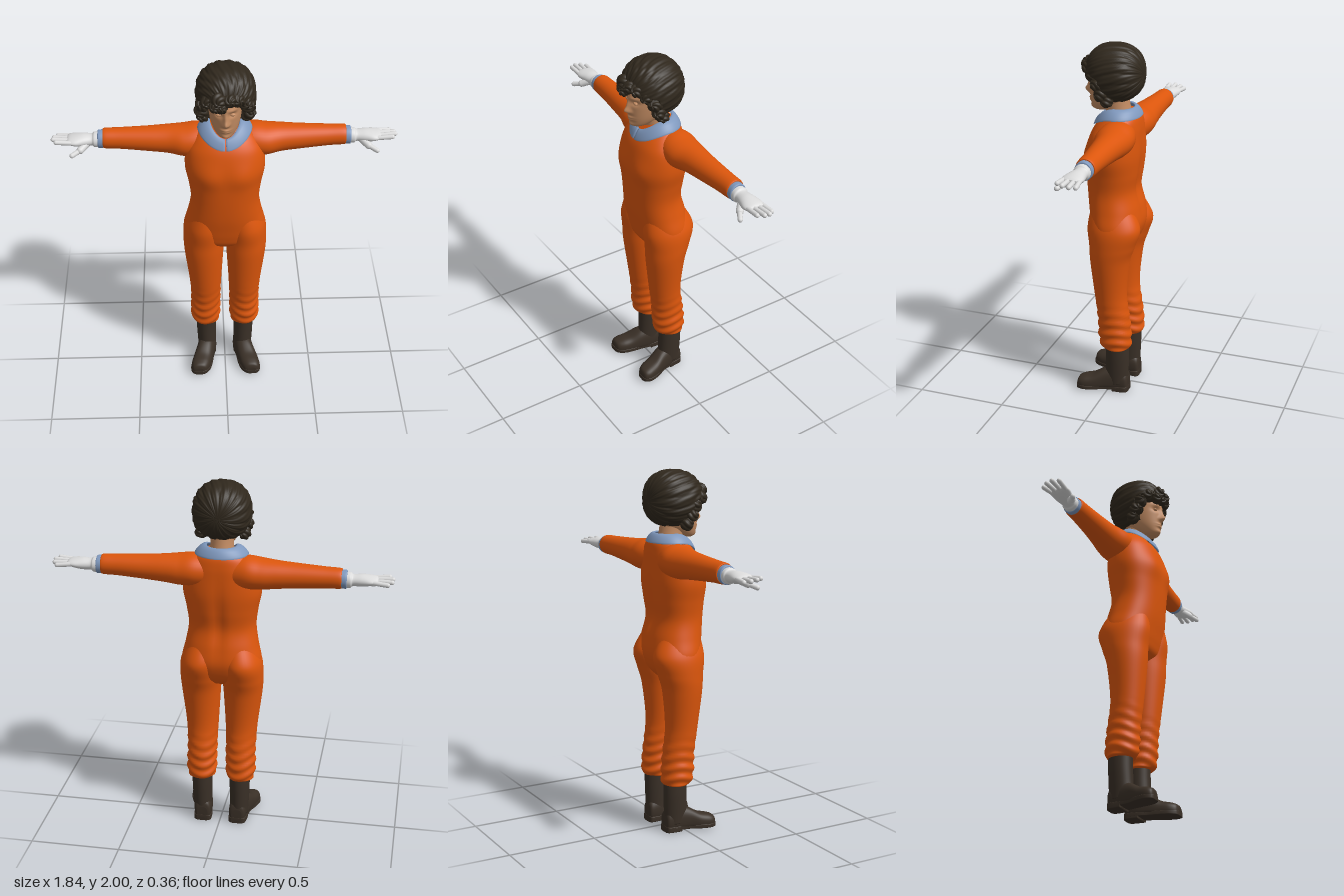
import * as THREE from 'three';

const V = (x, y, z) => new THREE.Vector3(x, y, z);
const gauss = (d, w) => Math.exp(-(d * d) / (w * w));
const { smoothstep, lerp } = THREE.MathUtils;
const spow = (v, e) => Math.sign(v) * Math.abs(v) ** (2 / e);

// Closed tube surface: fn(angle, t) gives a point; both ends are capped.
function grid(nu, nv, fn) {
  const pos = [], idx = [];
  for (let j = 0; j <= nv; j++)
    for (let i = 0; i < nu; i++) pos.push(...fn((i / nu) * Math.PI * 2, j / nv).toArray());
  for (let j = 0; j < nv; j++)
    for (let i = 0; i < nu; i++) {
      const k = (i + 1) % nu, a = j * nu + i, b = j * nu + k, c = a + nu, d = b + nu;
      idx.push(a, b, d, a, d, c);
    }
  [0, nv].forEach((j) => {
    const mid = V(0, 0, 0), n = pos.length / 3;
    for (let i = 0; i < nu; i++) mid.add(V().fromArray(pos, (j * nu + i) * 3));
    pos.push(...mid.divideScalar(nu).toArray());
    for (let i = 0; i < nu; i++) {
      const a = j * nu + i, b = j * nu + ((i + 1) % nu);
      if (j) idx.push(n, a, b); else idx.push(n, b, a);
    }
  });
  const g = new THREE.BufferGeometry();
  g.setAttribute('position', new THREE.Float32BufferAttribute(pos, 3));
  g.setIndex(idx);
  g.computeVertexNormals();
  return g;
}

// Smooth loft along an axis. Row: [along, c1, c2, r1, r2], the other axes in x, y, z order.
function loft(axis, rows, { e = 2, nu = 36, nv = rows.length * 6, post } = {}) {
  const last = rows.length - 1;
  const at = (t) => {
    const f = Math.min(t * last, last - 1e-6), i = Math.floor(f), w = f - i;
    const [p0, p1, p2, p3] = [-1, 0, 1, 2].map((o) => rows[Math.max(0, Math.min(last, i + o))]);
    return p1.map((b, k) => {
      const a = p0[k], c = p2[k], d = p3[k];
      return b + 0.5 * w * (c - a + w * (2 * a - 5 * b + 4 * c - d + w * (3 * (b - c) + d - a)));
    });
  };
  return grid(nu, nv, (a, t) => {
    const [s, c1, c2, r1, r2] = at(t), sn = spow(Math.sin(a), e), cs = spow(Math.cos(a), e);
    const p = axis === 'y' ? V(c1 + r1 * sn, s, c2 + r2 * cs)
      : axis === 'x' ? V(s, c1 + r1 * cs, c2 + r2 * sn)
        : V(c1 + r1 * cs, c2 + r2 * sn, s);
    if (post) post(p, a);
    return p;
  });
}

// Rounded limb between two points, used for fingers.
function digit(a, b, r) {
  const d = b.clone().sub(a), m = a.clone().add(b).multiplyScalar(0.5);
  const q = new THREE.Quaternion().setFromUnitVectors(V(0, 1, 0), d.clone().normalize());
  return new THREE.CapsuleGeometry(r, d.length(), 5, 12).applyQuaternion(q).translate(m.x, m.y, m.z);
}

function mirrored(geo) {
  const g = geo.clone().scale(-1, 1, 1), ix = g.index.array;
  for (let i = 0; i < ix.length; i += 3) [ix[i], ix[i + 1]] = [ix[i + 1], ix[i]];
  return g;
}

export function createModel() {
  const model = new THREE.Group();
  model.name = 'figure';
  const mat = (name, color) => {
    const m = new THREE.MeshStandardMaterial({ color });
    m.name = name;
    return m;
  };
  const orange = mat('orange cloth', 0xdc560c), blue = mat('blue trim', 0x7f98bd);
  const white = mat('white glove', 0xdcdcdc), skin = mat('skin', 0xc28b62);
  const dark = mat('hair', 0x30281d), leather = mat('boot leather', 0x3a3027);
  const add = (name, geo, m) => {
    const mesh = new THREE.Mesh(geo, m);
    mesh.name = name;
    model.add(mesh);
  };
  const pair = (name, geo, m) => {
    add('left' + name, geo, m);
    add('right' + name, mirrored(geo), m);
  };

  // Suit body
  add('torso', loft('y', [
    [0.87, 0, -0.02, 0.1, 0.07], [0.91, 0, -0.02, 0.195, 0.108], [0.96, 0, -0.024, 0.219, 0.128],
    [1.02, 0, -0.024, 0.219, 0.14], [1.1, 0, -0.012, 0.2, 0.142], [1.2, 0, 0.004, 0.185, 0.136],
    [1.3, 0, 0.001, 0.196, 0.145], [1.4, 0, -0.003, 0.214, 0.15], [1.5, 0, -0.012, 0.205, 0.138],
    [1.56, 0, -0.024, 0.175, 0.122], [1.61, 0, -0.04, 0.135, 0.095], [1.635, 0, -0.038, 0.09, 0.072],
  ], {
    e: 2.25, nu: 64, post: (p) => {
      if (p.z > 0) p.z += 0.012 * gauss(Math.abs(p.x) - 0.09, 0.07) * gauss(p.y - 1.39, 0.07);
      else p.z += 0.014 * gauss(p.x, 0.03) * gauss(p.y - 1.25, 0.2);
    },
  }), orange);

  // Trouser legs with gathered folds above the boots
  pair('Leg', loft('y', [
    [0.275, 0.109, -0.046, 0.062, 0.068], [0.285, 0.111, -0.043, 0.078, 0.084],
    [0.35, 0.112, -0.037, 0.083, 0.092], [0.45, 0.11, -0.03, 0.083, 0.09],
    [0.6, 0.111, -0.012, 0.09, 0.09], [0.8, 0.117, -0.01, 0.108, 0.11],
    [0.9, 0.117, -0.022, 0.114, 0.128], [1.0, 0.113, -0.03, 0.111, 0.147], [1.1, 0.1, -0.015, 0.085, 0.118],
  ], {
    nv: 80, nu: 40, post: (p, a) => {
      const w = 0.0045 * (1 - smoothstep(p.y, 0.4, 0.6)) * Math.sin(p.y * 105 + 1.6 * Math.sin(2 * a + 1));
      p.x += w * Math.sin(a);
      p.z += w * Math.cos(a);
    },
  }), orange);

  // Sleeves and cuffs
  pair('Sleeve', loft('x', [
    [0.04, 1.515, -0.05, 0.085, 0.08], [0.14, 1.524, -0.058, 0.09, 0.1], [0.22, 1.52, -0.057, 0.085, 0.099],
    [0.3, 1.522, -0.064, 0.076, 0.082], [0.4, 1.523, -0.066, 0.068, 0.07], [0.55, 1.525, -0.07, 0.058, 0.058],
    [0.635, 1.525, -0.072, 0.055, 0.054], [0.645, 1.525, -0.072, 0.047, 0.046],
  ]), orange);
  pair('Cuff', loft('x', [
    [0.63, 1.523, -0.071, 0.048, 0.047], [0.655, 1.522, -0.071, 0.05, 0.048],
    [0.67, 1.521, -0.071, 0.049, 0.047], [0.673, 1.521, -0.071, 0.04, 0.04],
  ]), blue);

  // Gloves
  pair('Glove', loft('x', [
    [0.66, 1.52, -0.07, 0.042, 0.042], [0.69, 1.519, -0.07, 0.041, 0.044], [0.705, 1.52, -0.07, 0.031, 0.038],
    [0.75, 1.521, -0.068, 0.032, 0.047], [0.79, 1.523, -0.066, 0.026, 0.055],
    [0.82, 1.525, -0.066, 0.018, 0.051], [0.835, 1.526, -0.066, 0.009, 0.04],
  ]), white);
  [[-0.106, -0.116, 0.885, 1.518], [-0.08, -0.088, 0.905, 1.524], [-0.053, -0.056, 0.908, 1.53],
    [-0.027, -0.024, 0.89, 1.532]].forEach(([z0, z1, x, y], i) =>
    pair('Finger' + (i + 1), digit(V(0.8, 1.524, z0), V(x, y, z1), 0.0125), white));
  pair('ThumbBase', digit(V(0.73, 1.508, -0.05), V(0.765, 1.487, -0.015), 0.02), white);
  pair('Thumb', digit(V(0.755, 1.49, -0.02), V(0.808, 1.472, 0.013), 0.0135), white);

  // Collar, split at the front and dipping to a point
  add('collar', grid(14, 72, (u, v) => {
    const a = lerp(Math.PI * 2 - 0.03, 0.03, v), t = (1 + Math.cos(u)) / 2;
    const f = Math.max(Math.cos(a), 0) ** 2, c = Math.cos(a);
    return V(
      Math.sin(a) * lerp(0.078, 0.145, t),
      lerp(1.658 - 0.056 * f, 1.612 - 0.062 * f, t) + 0.01 * Math.sin(u) + 0.008 * Math.sin(t * Math.PI),
      -0.03 + c * lerp(c > 0 ? 0.108 : 0.072, c > 0 ? 0.146 : 0.116, t),
    );
  }), blue);

  // Boots: shaft, foot, sole and heel
  pair('BootShaft', loft('y', [
    [0.05, 0.104, -0.048, 0.052, 0.062], [0.1, 0.106, -0.046, 0.053, 0.067], [0.15, 0.107, -0.048, 0.055, 0.067],
    [0.22, 0.108, -0.05, 0.057, 0.067], [0.3, 0.108, -0.05, 0.057, 0.067],
  ]), leather);
  pair('BootFoot', loft('z', [
    [-0.114, 0.1, 0.05, 0.03, 0.035], [-0.1, 0.1, 0.06, 0.046, 0.06], [-0.04, 0.104, 0.062, 0.052, 0.08],
    [0.02, 0.116, 0.058, 0.054, 0.072], [0.08, 0.134, 0.045, 0.057, 0.052], [0.13, 0.146, 0.04, 0.055, 0.045],
    [0.16, 0.152, 0.037, 0.042, 0.036], [0.17, 0.154, 0.033, 0.024, 0.02],
  ], { e: 2.4, post: (p) => { p.y = Math.max(p.y, 0.026); } }), leather);
  const soleRows = [[-0.116, 0.1, 0.03], [-0.1, 0.1, 0.049], [-0.03, 0.105, 0.051], [0.02, 0.116, 0.05],
    [0.08, 0.134, 0.059], [0.13, 0.146, 0.058], [0.163, 0.152, 0.042], [0.174, 0.154, 0.022]];
  const slab = (name, rows, y, h, m) => pair(name,
    loft('z', rows.map(([z, x, r]) => [z, x, y + h / 2, r, h / 2]), { e: 9, nu: 40 }), m);
  slab('Sole', soleRows, 0.01, 0.024, leather);
  slab('Heel', soleRows.slice(0, 3), 0, 0.03, leather);

  // Neck and head, with brow, sockets, nose, lips and chin raised by rule
  add('neck', loft('y', [
    [1.57, 0, -0.035, 0.08, 0.075], [1.62, 0, -0.022, 0.067, 0.07],
    [1.67, 0, -0.012, 0.062, 0.068], [1.74, 0, 0, 0.062, 0.07],
  ]), skin);
  add('head', loft('y', [
    [1.632, 0, 0.08, 0.022, 0.034], [1.645, 0, 0.072, 0.045, 0.056], [1.68, 0, 0.042, 0.069, 0.094],
    [1.73, 0, 0.02, 0.084, 0.121], [1.8, 0, 0.01, 0.092, 0.134], [1.87, 0, 0, 0.094, 0.134],
    [1.93, 0, 0, 0.075, 0.11], [1.96, 0, 0, 0.03, 0.04],
  ], {
    nu: 96, nv: 90, post: (p) => {
      if (p.z < 0.05) return;
      const x = Math.abs(p.x), y = p.y;
      p.z += 0.026 * gauss(x, 0.014) * gauss(y - 1.735, 0.018) + 0.013 * gauss(x, 0.011) * gauss(y - 1.765, 0.028)
        + 0.008 * gauss(x - 0.015, 0.009) * gauss(y - 1.729, 0.011) - 0.013 * gauss(x - 0.036, 0.021) * gauss(y - 1.783, 0.014)
        + 0.006 * gauss(x - 0.035, 0.03) * gauss(y - 1.81, 0.01) + 0.009 * gauss(x, 0.024) * gauss(y - 1.694, 0.007)
        + 0.009 * gauss(x, 0.022) * gauss(y - 1.681, 0.006) + 0.008 * gauss(x, 0.022) * gauss(y - 1.65, 0.012);
    },
  }), skin);
  pair('Eyelid', new THREE.SphereGeometry(0.013, 16, 12).scale(1.15, 0.65, 0.8).translate(0.036, 1.782, 0.125), skin);

  // Hair: strands run from front to back; the front is cut away below the hairline
  add('hair', grid(240, 70, (a, t) => {
    const th = lerp(Math.PI - 0.02, 0.02, t), e = 2.25;
    const ring = spow(Math.sin(th), e), s = Math.sin(a);
    const tw = a + 0.45 * Math.cos(th);
    const wave = Math.abs(Math.sin(tw * 9 + 1.2 * Math.sin(3 * th))) + 0.5 * Math.abs(Math.sin(tw * 21 + 2 * th));
    const k = 0.955 + 0.038 * wave * Math.sin(th);
    const p = V(0.003 + 0.158 * k * ring * spow(Math.cos(a), e),
      1.835 + (s > 0 ? 0.163 : 0.148) * k * ring * spow(s, e), 0.166 * k * spow(Math.cos(th), e));
    p.z = Math.min(p.z, lerp(0.05, 0.17, smoothstep(p.y, 1.825, 1.87)));
    return p;
  }), dark);

  // Curls around the face: [x, y, z, size]
  [[-0.115, 1.715, 0.02, 0.034], [-0.122, 1.76, 0.045, 0.036], [-0.116, 1.81, 0.066, 0.037],
    [-0.09, 1.85, 0.105, 0.037], [-0.055, 1.84, 0.145, 0.03], [-0.02, 1.838, 0.158, 0.027],
    [-0.035, 1.88, 0.145, 0.038], [0.02, 1.878, 0.15, 0.033], [0.06, 1.87, 0.128, 0.036],
    [0.096, 1.84, 0.096, 0.035], [0.118, 1.795, 0.06, 0.037], [0.125, 1.745, 0.04, 0.035],
    [0.115, 1.71, 0.01, 0.033]].forEach(([x, y, z, r], i) => {
    const g = grid(40, 18, (a, t) => {
      const th = Math.PI - 0.04 - t * (Math.PI - 0.08);
      const k = r * (0.88 + 0.2 * Math.abs(Math.sin(2.5 * a + 2.2 * th)));
      return V(k * Math.sin(th) * Math.cos(a), k * 1.1 * Math.sin(th) * Math.sin(a), k * Math.cos(th));
    });
    g.rotateZ(i * 1.7).rotateX(0.3 * Math.sin(i * 2.3)).rotateY(x * 5).translate(x, y, z);
    add('curl' + (i + 1), g, dark);
  });

  return model;
}
